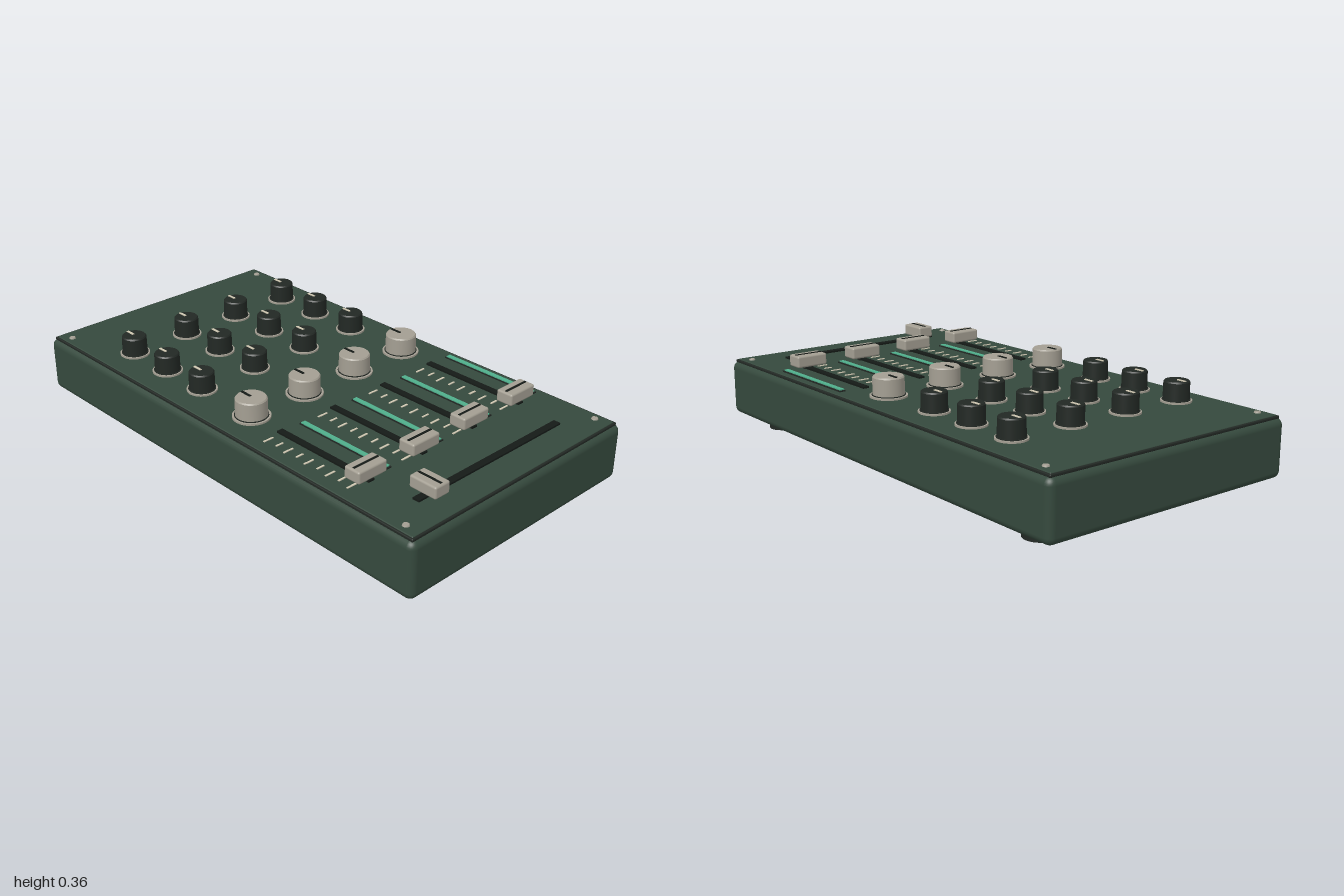
import * as THREE from 'three';
import { RoundedBoxGeometry } from 'three/addons/geometries/RoundedBoxGeometry.js';

const mat = (name, color) => {
  const m = new THREE.MeshStandardMaterial({ color });
  m.name = name;
  return m;
};

export function createModel() {
  const green = mat('case green', 0x35493d);
  const dark = mat('charcoal', 0x222824);
  const black = mat('slot black', 0x151a17);
  const stone = mat('warm grey', 0xa39e92);
  const cream = mat('cream', 0xd0c8b2);
  const teal = mat('meter teal', 0x4fae8b);

  const model = new THREE.Group();
  model.name = 'mixerController';

  const add = (parent, name, geo, material, x, y, z) => {
    const m = new THREE.Mesh(geo, material);
    m.name = name;
    m.position.set(x, y, z);
    parent.add(m);
    return m;
  };
  const group = (name, x, y, z) => {
    const g = new THREE.Group();
    g.name = name;
    g.position.set(x, y, z);
    model.add(g);
    return g;
  };
  const box = (w, h, d) => new THREE.BoxGeometry(w, h, d);
  const round = (w, h, d, r) => new RoundedBoxGeometry(w, h, d, 3, r);

  // Case, dark seam and top plate
  const top = 0.275;
  add(model, 'case', round(1.09, 0.22, 2, 0.028), green, 0, 0.155, 0);
  add(model, 'seam', round(1.06, 0.012, 1.97, 0.004), dark, 0, 0.266, 0);
  add(model, 'topPlate', round(1.046, 0.016, 1.956, 0.004), green, 0, top - 0.008, 0);

  // Feet and plate screws, one per corner
  for (const sx of [-1, 1]) {
    for (const sz of [-1, 1]) {
      add(model, 'foot', new THREE.CylinderGeometry(0.059, 0.059, 0.05, 32), dark, sx * 0.415, 0.025, sz * 0.81);
      add(model, 'screw', new THREE.CylinderGeometry(0.011, 0.013, 0.005, 16), stone, sx * 0.49, top + 0.0025, sz * 0.92);
    }
  }

  // Knob: washer, body with a bevelled rim and a pointer line
  const knob = (name, x, z, r, washerR, body, pointer) => {
    const g = group(name, x, top, z);
    add(g, 'washer', new THREE.CylinderGeometry(washerR, washerR, 0.007, 32), stone, 0, 0.0035, 0);
    add(g, 'shadowRing', new THREE.CylinderGeometry(r + 0.003, r + 0.003, 0.004, 32), dark, 0, 0.008, 0);
    add(g, 'knobBody', new THREE.CylinderGeometry(r - 0.001, r, 0.065, 32), body, 0, 0.0415, 0);
    add(g, 'knobRim', new THREE.CylinderGeometry(r - 0.005, r - 0.001, 0.005, 32), body, 0, 0.0765, 0);
    add(g, 'pointer', box(0.009, 0.004, r * 0.8), pointer, 0, 0.08, -r * 0.47);
  };

  // Slider cap, with its long side along x
  const slider = (name, x, z, length, turn) => {
    const g = group(name, x, top, z);
    g.rotation.y = turn;
    add(g, 'stem', box(0.04, 0.03, 0.012), dark, 0, 0.014, 0);
    add(g, 'cap', round(length, 0.047, 0.07, 0.008), stone, 0, 0.0375, 0);
    add(g, 'capLine', box(length * 0.86, 0.003, 0.009), black, 0, 0.0615, 0);
  };

  // Four channel strips
  for (const x of [-0.386, -0.129, 0.129, 0.386]) {
    for (const z of [-0.634, -0.423, -0.212]) knob('smallKnob', x, z, 0.049, 0.058, dark, cream);
    knob('largeKnob', x, 0.07, 0.06, 0.071, stone, black);

    add(model, 'faderSlot', box(0.026, 0.008, 0.45), black, x, top + 0.003, 0.445);
    slider('fader', x, 0.642, 0.132, 0);

    // Scale marks, alternately long and short
    for (let i = 0; i < 9; i++) {
      const w = i % 2 ? 0.032 : 0.043;
      add(model, 'scaleMark', box(w, 0.003, 0.007), cream, x - 0.046 - w / 2, top + 0.0015, 0.238 + i * 0.051);
    }

    // Level meter
    add(model, 'meterBezel', box(0.026, 0.005, 0.424), dark, x + 0.098, top + 0.0025, 0.442);
    add(model, 'meterStrip', box(0.019, 0.009, 0.414), teal, x + 0.097, top + 0.0045, 0.442);
  }

  // Crossfader
  add(model, 'crossfaderSlot', box(0.734, 0.008, 0.028), black, 0, top + 0.003, 0.847);
  slider('crossfader', -0.304, 0.847, 0.115, Math.PI / 2);

  return model;
}
